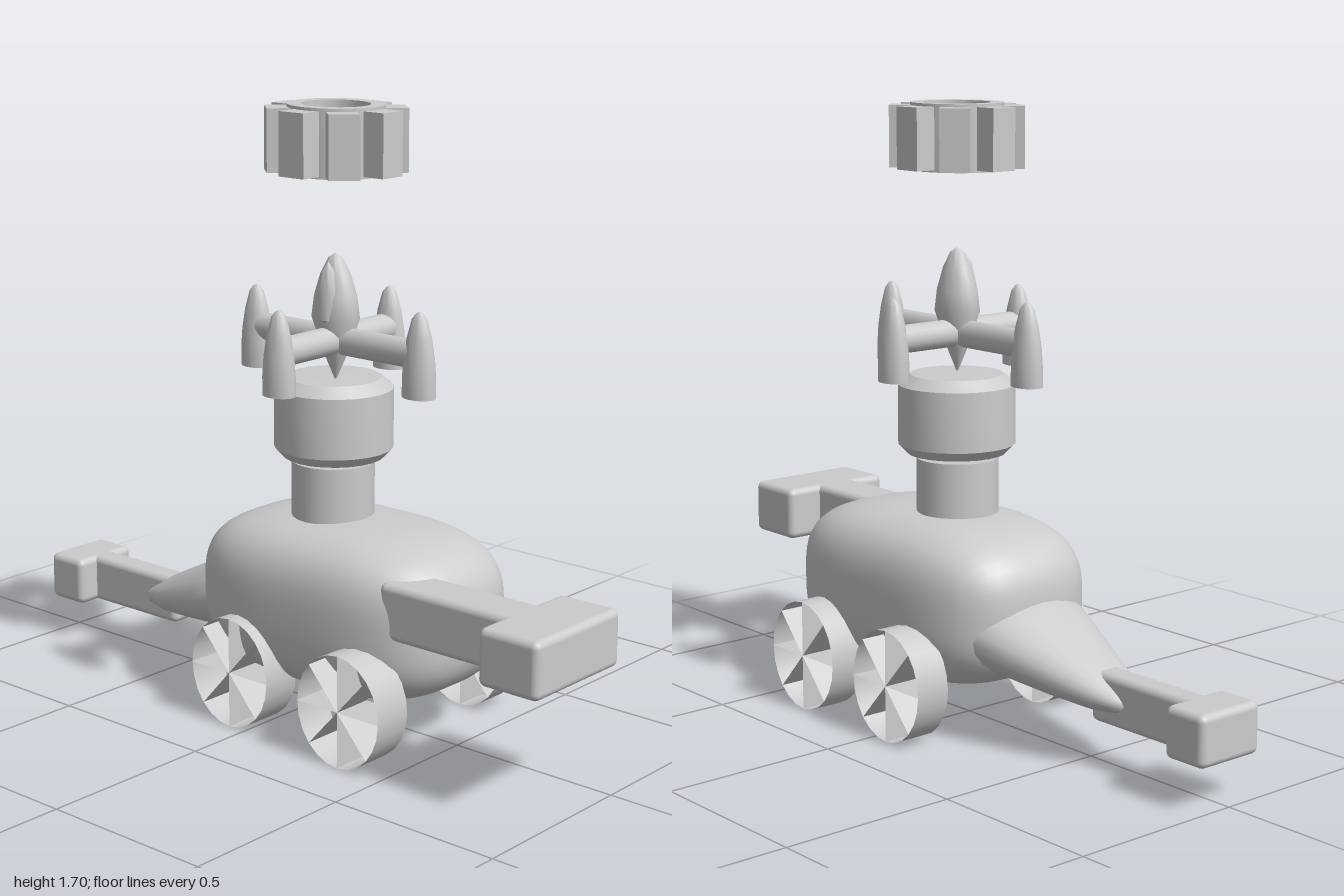
import * as THREE from 'three';
import { mergeVertices } from 'three/addons/utils/BufferGeometryUtils.js';
import { toCreasedNormals } from 'three/addons/utils/BufferGeometryUtils.js';
import { RoundedBoxGeometry } from 'three/addons/geometries/RoundedBoxGeometry.js';

const mat = new THREE.MeshStandardMaterial({ color: 0xcccccc });
const thin = new THREE.MeshStandardMaterial({ color: 0xcccccc, side: THREE.DoubleSide });

function add(parent, name, geo, x = 0, y = 0, z = 0, material = mat) {
  const mesh = new THREE.Mesh(geo, material);
  mesh.name = name;
  mesh.position.set(x, y, z);
  parent.add(mesh);
  return mesh;
}

// Box given by its min and max on each axis
function block(parent, name, [x0, x1], [y0, y1], [z0, z1], r = 0.02) {
  const geo = new RoundedBoxGeometry(x1 - x0, y1 - y0, z1 - z0, 3, r);
  return add(parent, name, geo, (x0 + x1) / 2, (y0 + y1) / 2, (z0 + z1) / 2);
}

const lathe = (pts, n = 24, crease = 0.5) =>
  toCreasedNormals(new THREE.LatheGeometry(pts.map(p => new THREE.Vector2(...p)), n), crease);

// Puffed-out box: every surface point pushed onto a superellipsoid
function puffedBox(hx, hy, hz, power) {
  let geo = new THREE.BoxGeometry(2, 2, 2, 20, 16, 16);
  geo.deleteAttribute('uv');
  geo.deleteAttribute('normal');
  geo = mergeVertices(geo);
  const p = geo.attributes.position;
  for (let i = 0; i < p.count; i++) {
    const v = [p.getX(i), p.getY(i), p.getZ(i)];
    const n = v.reduce((s, c) => s + Math.abs(c) ** power, 0) ** (1 / power);
    p.setXYZ(i, v[0] / n * hx, v[1] / n * hy, v[2] / n * hz);
  }
  geo.computeVertexNormals();
  return geo;
}

// Elliptical loft along x; sections are [x, half width, bottom, top]
function loft(sections, n = 24) {
  const pos = [], idx = [];
  sections.forEach(([x, w, y0, y1], s) => {
    for (let j = 0; j < n; j++) {
      const a = j / n * Math.PI * 2;
      pos.push(x, (y0 + y1) / 2 + Math.cos(a) * (y1 - y0) / 2, Math.sin(a) * w);
      if (s === 0) continue;
      const k = (j + 1) % n, A = (s - 1) * n, B = s * n;
      idx.push(A + j, B + j, A + k, B + j, B + k, A + k);
    }
  });
  const geo = new THREE.BufferGeometry();
  geo.setAttribute('position', new THREE.Float32BufferAttribute(pos, 3));
  geo.setIndex(idx);
  geo.computeVertexNormals();
  return geo;
}

// Open rim with radial blades
function wheel(x, z, width) {
  const g = new THREE.Group();
  g.name = 'wheel';
  const rim = new THREE.CylinderGeometry(1, 1, width, 24, 1, true).rotateX(Math.PI / 2);
  add(g, 'wheelRim', rim, 0, 0, 0, thin);
  for (let i = 0; i < 8; i++) {
    const blade = new THREE.PlaneGeometry(1, width).rotateX(Math.PI / 2).translate(0.5, 0, 0);
    add(g, 'wheelBlade', blade, 0, 0, 0, thin).rotation.z = i * Math.PI / 4;
  }
  g.scale.set(0.14, 0.156, 1);
  g.position.set(x, 0.156, z);
  return g;
}

export function createModel() {
  const model = new THREE.Group();
  model.name = 'rotorVehicle';

  // Body and tail
  add(model, 'body', puffedBox(0.432, 0.231, 0.275, 3.1), 0.123, 0.345, 0);
  add(model, 'tailCone', loft([
    [-0.66, 0.001, 0.18, 0.182], [-0.656, 0.035, 0.162, 0.2], [-0.63, 0.058, 0.152, 0.217],
    [-0.55, 0.098, 0.146, 0.262], [-0.44, 0.136, 0.152, 0.318], [-0.34, 0.17, 0.162, 0.368],
    [-0.25, 0.198, 0.172, 0.41], [-0.15, 0.21, 0.18, 0.42]]), 0, 0, 0, thin);
  block(model, 'tailBoom', [-0.92, -0.53], [0.115, 0.255], [-0.035, 0.045]);
  block(model, 'tailEnd', [-1, -0.865], [0.115, 0.255], [-0.1, 0.11]);

  // Side arm
  block(model, 'armBoom', [0.41, 0.92], [0.345, 0.5], [0.09, 0.23]);
  block(model, 'armHead', [0.815, 1], [0.345, 0.5], [-0.02, 0.335]);

  // Wheels
  model.add(wheel(-0.055, 0.25, 0.12), wheel(0.36, 0.275, 0.12),
    wheel(-0.055, -0.293, 0.104), wheel(0.32, -0.293, 0.104));

  // Mast and drum
  add(model, 'mast', new THREE.CylinderGeometry(0.115, 0.115, 0.2, 24), 0.061, 0.625, 0.009);
  add(model, 'drum', lathe([[0, 0.738], [0.138, 0.738], [0.164, 0.765], [0.164, 0.932],
    [0.13, 0.96], [0, 0.962]]), 0.064, 0, 0.009);

  // Rotor with a bullet hub and four pods
  const rotor = new THREE.Group();
  rotor.name = 'rotor';
  rotor.position.set(0.091, 0, 0.034);
  rotor.scale.z = 0.78;
  model.add(rotor);
  add(rotor, 'rotorHub', lathe([[0, 0.955], [0.03, 1.02], [0.072, 1.13], [0.064, 1.19],
    [0.045, 1.25], [0.022, 1.293], [0, 1.306]], 24, 0.6));
  add(rotor, 'hubFairing', lathe([[0, 1.1], [0.036, 1.13], [0.034, 1.2], [0.02, 1.26], [0, 1.287]], 20, 0.7),
    0, 0, 0.04);
  for (let i = 0; i < 4; i++) {
    const arm = new THREE.Group();
    arm.name = 'rotorArm';
    arm.rotation.y = i * Math.PI / 2;
    rotor.add(arm);
    add(arm, 'armTube', new THREE.CylinderGeometry(0.039, 0.039, 0.29, 20).rotateZ(Math.PI / 2), 0.145, 1.069, 0);
    add(arm, 'pod', lathe([[0, 0.955], [0.049, 0.955], [0.049, 1.005], [0.045, 1.06], [0.036, 1.115],
      [0.022, 1.165], [0.01, 1.18], [0, 1.185]]), 0.29, 0, 0);
  }

  // Floating toothed ring
  const gear = new THREE.Group();
  gear.name = 'gear';
  gear.position.set(0.094, 0, 0.037);
  gear.scale.z = 0.91;
  model.add(gear);
  add(gear, 'gearRing', lathe([[0.096, 1.52], [0.136, 1.52], [0.136, 1.704], [0.096, 1.704], [0.096, 1.52]], 32));
  for (let i = 0; i < 8; i++) {
    const tooth = new THREE.BoxGeometry(0.075, 0.17, 0.086).translate(0.1575, 0, 0);
    add(gear, 'gearTooth', tooth, 0, 1.611, 0).rotation.y = i * Math.PI / 4;
  }
  return model;
}
